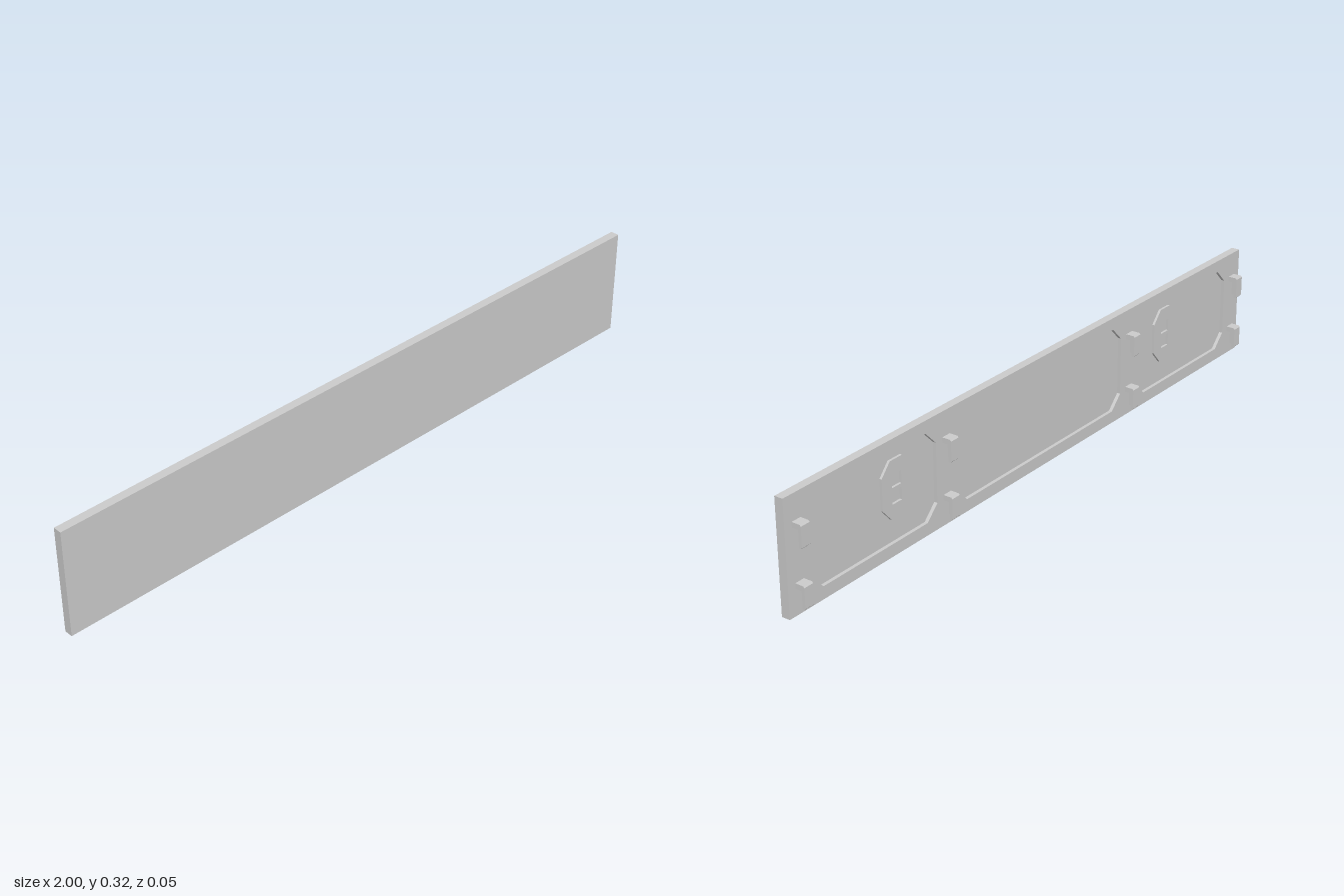
import * as THREE from 'three';

const FLOOR = 0.012, BACK = 0.002, FRONT = 0.027, H = 0.318;
const mat = new THREE.MeshStandardMaterial({ color: 0xcccccc, flatShading: true });

// rectangle with corners cut by cx, cy
function cutRect(x0, x1, y0, y1, cx, cy, Kind = THREE.Shape) {
  const pts = [
    [x0 + cx, y0], [x1 - cx, y0], [x1, y0 + cy], [x1, y1 - cy],
    [x1 - cx, y1], [x0 + cx, y1], [x0, y1 - cy], [x0, y0 + cy],
  ];
  return new Kind(pts.map(p => new THREE.Vector2(...p)));
}

function plainRect(x0, x1, y0, y1, Kind = THREE.Shape) {
  return new Kind([[x0, y0], [x1, y0], [x1, y1], [x0, y1]].map(p => new THREE.Vector2(...p)));
}

function addMesh(parent, name, geometry) {
  const mesh = new THREE.Mesh(geometry, mat);
  mesh.name = name;
  parent.add(mesh);
  return mesh;
}

function extrude(shape, z0, z1) {
  return new THREE.ExtrudeGeometry(shape, { depth: z1 - z0, bevelEnabled: false }).translate(0, 0, z0);
}

// clip: top arm and hanging plate, closed on one side
function makeHook(width) {
  const hook = new THREE.Group();
  hook.name = 'hook';
  const profile = new THREE.Shape([
    [BACK, 0.063], [-0.023, 0.063], [-0.026, 0.059], [-0.026, 0.003], [-0.023, 0],
    [-0.017, 0], [-0.017, 0.048], [BACK, 0.048],
  ].map(p => new THREE.Vector2(...p)));
  const arm = extrude(profile, -width / 2, width / 2).rotateY(-Math.PI / 2);
  addMesh(hook, 'hookArm', arm);
  const wall = new THREE.BoxGeometry(0.009, 0.049, 0.02);
  wall.translate(-width / 2 + 0.0045, 0.0245, -0.0075);
  addMesh(hook, 'hookSideWall', wall);
  return hook;
}

export function createModel() {
  const model = new THREE.Group();
  model.name = 'panel';

  // smooth front plate
  const plate = new THREE.BoxGeometry(2, H, FRONT - FLOOR);
  plate.translate(0, H / 2, (FRONT + FLOOR) / 2);
  addMesh(model, 'frontPlate', plate);

  // back frame with three cut-corner recesses
  const frame = plainRect(-1, 1, 0, H);
  for (const [x0, x1] of [[-0.92, -0.45], [-0.37, 0.37], [0.45, 0.92]]) {
    frame.holes.push(cutRect(x0, x1, 0.035, 0.283, 0.04, 0.04, THREE.Path));
  }
  addMesh(model, 'backFrame', extrude(frame, BACK, FLOOR));

  // raised octagonal pads with two small pockets
  for (const x of [-0.6, 0.6]) {
    const pad = cutRect(x - 0.055, x + 0.055, 0.1, 0.26, 0.032, 0.036);
    for (const y of [0.14, 0.185]) {
      pad.holes.push(plainRect(x - 0.018, x + 0.018, y, y + 0.036, THREE.Path));
    }
    addMesh(model, 'octagonPad', extrude(pad, 0.005, FLOOR));
  }

  // two rows of mounting hooks
  for (const x of [-0.96, -0.41, 0.41, 0.96]) {
    for (const y of [0.024, 0.185]) {
      const hook = makeHook(0.03);
      hook.position.set(x, y, 0);
      model.add(hook);
    }
  }
  return model;
}
